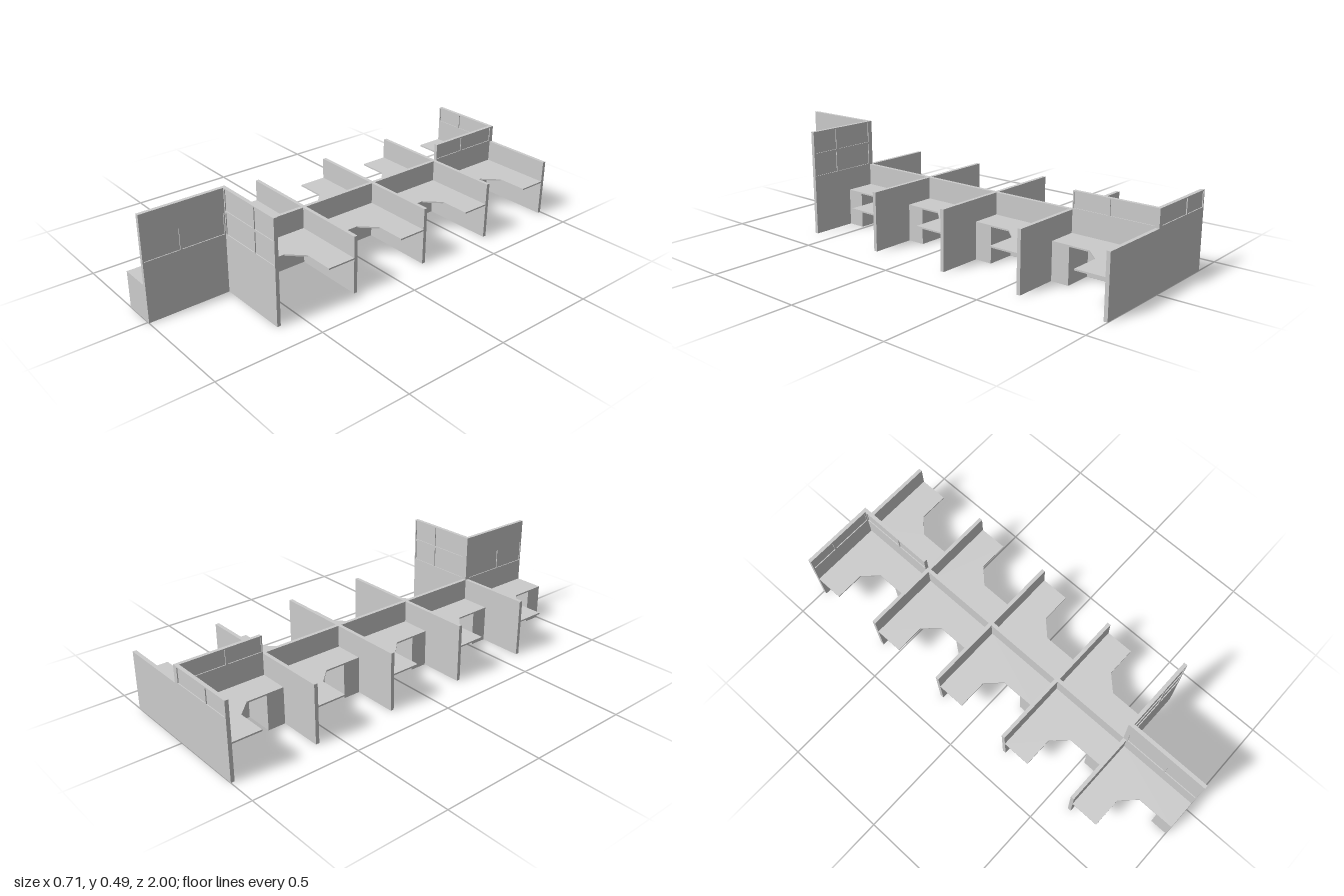
import * as THREE from 'three';

const T = 0.017;        // panel thickness
const HALF = 0.357;     // half width of the cluster
const BAY = 0.4;        // depth of one workstation
const LOW = 0.273, MID = 0.354, TALL = 0.488;
const DESK_Y = 0.172, DESK_T = 0.007, RETURN_W = 0.147;

const grey = new THREE.MeshStandardMaterial({ color: 0xcccccc, flatShading: true });

function outline(points) {
  return new THREE.Shape(points.map(([a, b]) => new THREE.Vector2(a, b)));
}

function rect(u0, v0, u1, v1) {
  return [[u0, v0], [u1, v0], [u1, v1], [u0, v1]];
}

function add(parent, geometry, name) {
  const mesh = new THREE.Mesh(geometry, grey);
  mesh.name = name;
  parent.add(mesh);
  return mesh;
}

// Upright panel from u0 to u1, with recessed panes at windows [u0, v0, u1, v1]
function makePanel(name, u0, u1, height, windows = []) {
  const panel = new THREE.Group();
  panel.name = name;
  const shape = outline(rect(u0, 0, u1, height));
  for (const w of windows) {
    shape.holes.push(new THREE.Path(outline(rect(...w)).getPoints()));
    const pane = new THREE.BoxGeometry(w[2] - w[0], w[3] - w[1], T * 0.5);
    pane.translate((w[0] + w[2]) / 2, (w[1] + w[3]) / 2, T / 2);
    add(panel, pane, 'windowPane');
  }
  add(panel, new THREE.ExtrudeGeometry(shape, { depth: T, bevelEnabled: false }), 'panelFrame');
  return panel;
}

// Grid of windows from column spans and row spans
function windowGrid(columns, rows) {
  return rows.flatMap(([v0, v1]) => columns.map(([u0, u1]) => [u0, v0, u1, v1]));
}

// L-shaped worktop with a cut inner corner and an end pedestal; side is +1 or -1
function makeDesk(side, z0) {
  const desk = new THREE.Group();
  desk.name = side > 0 ? 'leftDesk' : 'rightDesk';
  const inner = T / 2;
  const shape = outline([
    [inner, T], [HALF, T], [HALF, 0.152], [0.215, 0.152],
    [RETURN_W, 0.222], [RETURN_W, BAY], [inner, BAY],
  ].map(([x, z]) => [x * side, z]));
  const top = new THREE.ExtrudeGeometry(shape, { depth: DESK_T, bevelEnabled: false });
  top.rotateX(Math.PI / 2);
  top.translate(0, DESK_Y, 0);
  add(desk, top, 'worktop');

  const depth = 0.083, height = DESK_Y - DESK_T;
  const box = new THREE.BoxGeometry(RETURN_W - inner, height, depth);
  box.translate(side * (RETURN_W + inner) / 2, height / 2, BAY - depth / 2);
  add(desk, box, 'pedestal');
  desk.position.z = z0;
  return desk;
}

export function createModel() {
  const model = new THREE.Group();
  model.name = 'workstationCluster';

  const acrossLeft = [[0.015, 0.212], [0.222, 0.35]];
  const acrossRight = acrossLeft.map(([a, b]) => [-b, -a]);
  const along = [[0.022, 0.222], [0.231, 0.395]];
  const midRow = [0.28, 0.348], tallRow = [0.278, 0.376], topRow = [0.386, 0.483];

  for (let i = 0; i < 5; i++) {
    const z0 = -1 + i * BAY;
    const first = i === 0, last = i === 4;

    // Cross panels, split at the spine where the heights differ
    const split = last ? -T / 2 : T / 2;
    const right = makePanel('rightCrossPanel', -HALF, split, first ? MID : LOW,
      first ? windowGrid(acrossRight, [midRow]) : []);
    const left = makePanel('leftCrossPanel', split, HALF, last ? TALL : LOW,
      last ? windowGrid(acrossLeft, [tallRow, topRow]) : []);
    right.position.z = left.position.z = z0;
    model.add(right, left);

    // Spine panel running along z
    const height = first ? MID : last ? TALL : LOW;
    const windows = first ? windowGrid(along, [midRow]) : last ? windowGrid(along, [tallRow]) : [];
    const spine = makePanel('spinePanel', T, BAY, height, windows);
    spine.rotation.y = -Math.PI / 2;
    spine.position.set(T / 2, 0, z0);
    model.add(spine);

    // Desks on both sides; the front bay has one only on the right
    model.add(makeDesk(-1, z0));
    if (!last) model.add(makeDesk(1, z0));
  }
  return model;
}
